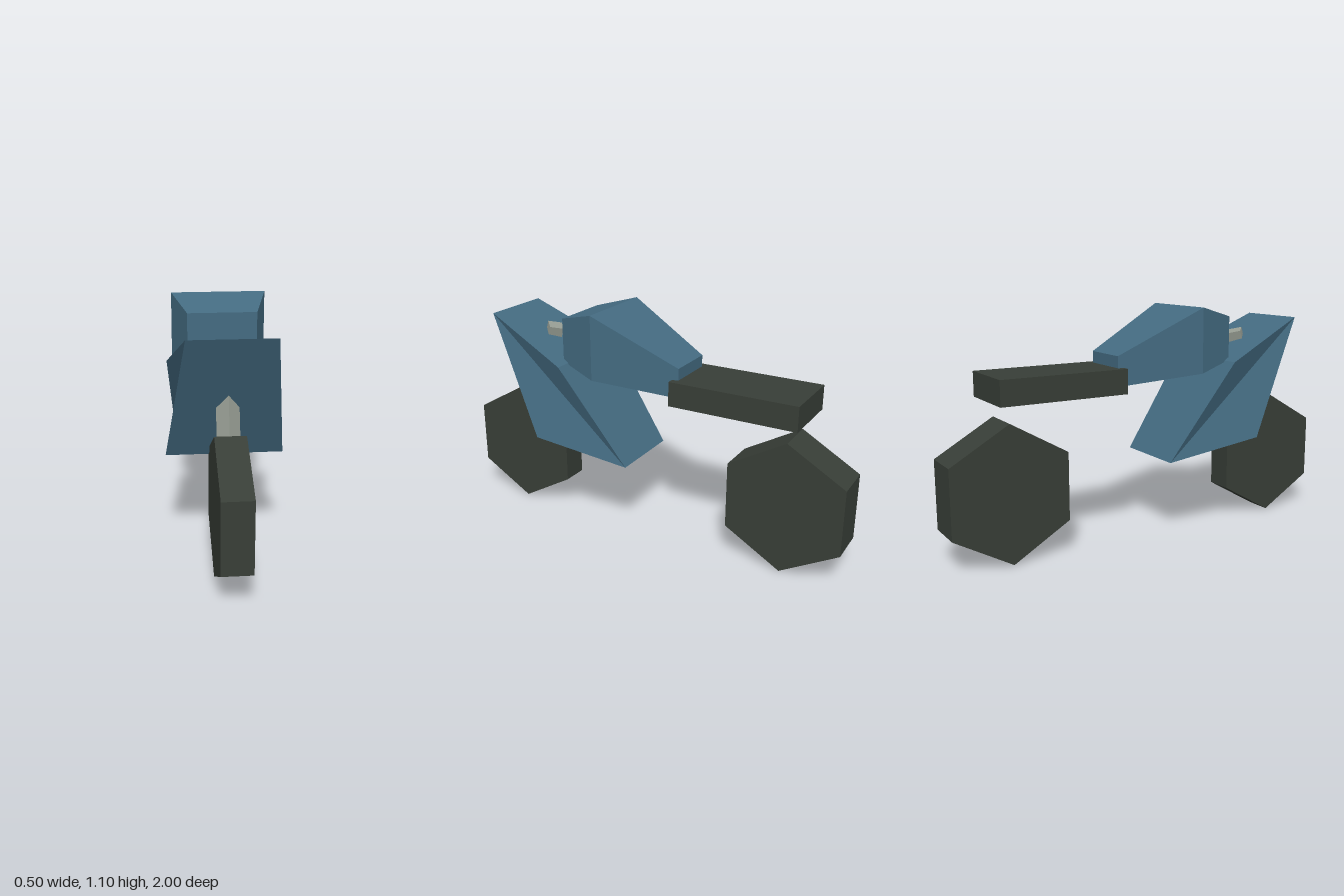
import * as THREE from 'three';

const body = new THREE.MeshStandardMaterial({ color: 0x446b81 });
body.name = 'bodyBlue';
const dark = new THREE.MeshStandardMaterial({ color: 0x383e37 });
dark.name = 'tyreDark';
const metal = new THREE.MeshStandardMaterial({ color: 0x979d93 });
metal.name = 'forkGrey';

// Split shared corners so every facet is flat
function faceted(geometry) {
  const g = geometry.index ? geometry.toNonIndexed() : geometry;
  g.computeVertexNormals();
  return g;
}

function part(group, name, geometry, material, x = 0, y = 0, z = 0) {
  const mesh = new THREE.Mesh(faceted(geometry), material);
  mesh.name = name;
  mesh.position.set(x, y, z);
  group.add(mesh);
  return mesh;
}

// Mirrored shell: outline points are [z, y, half width], running front, top, rear, bottom;
// sides lists the triangles that close the left and right
function mirroredShell(outline, sides) {
  const positions = [];
  const index = [];
  const n = outline.length;
  for (const s of [1, -1]) {
    for (const [z, y, w] of outline) positions.push(s * w, y, z);
  }
  for (let i = 0; i < n; i++) {
    const j = (i + 1) % n;
    index.push(i, j, n + j, i, n + j, n + i);
  }
  for (const [a, b, c] of sides) index.push(a, c, b, n + a, n + b, n + c);
  const g = new THREE.BufferGeometry();
  g.setAttribute('position', new THREE.Float32BufferAttribute(positions, 3));
  g.setIndex(index);
  return g;
}

// Six-sided wheel with a corner at top and bottom
function wheel(radius, width) {
  return new THREE.CylinderGeometry(radius, radius, width, 6, 1, false, Math.PI / 6)
    .rotateZ(Math.PI / 2);
}

export function createModel() {
  const bike = new THREE.Group();
  bike.name = 'motorcycle';

  // Wheels
  part(bike, 'frontWheel', wheel(0.31, 0.13), dark, 0, 0.313, 0.732);
  part(bike, 'rearWheel', wheel(0.317, 0.19), dark, 0, 0.318, -0.725);

  // Seat
  part(bike, 'seat', new THREE.BoxGeometry(0.31, 0.115, 0.61), dark, 0, 0.778, -0.482);

  // Fuel tank, widest at its middle section
  part(bike, 'fuelTank', mirroredShell([
    [0.395, 1.045, 0.147], [0.2, 1.097, 0.205], [-0.207, 0.89, 0.117],
    [-0.207, 0.75, 0.117], [0.2, 0.79, 0.205], [0.395, 0.835, 0.147],
  ], [[0, 1, 4], [0, 4, 5], [1, 2, 3], [1, 3, 4]]), body);

  // Fairing, its sides creased from top front to bottom rear
  part(bike, 'fairing', mirroredShell([
    [0.785, 1.027, 0.178], [0.365, 0.835, 0.235],
    [0.035, 0.377, 0.185], [0.5, 0.458, 0.25],
  ], [[0, 1, 2], [0, 2, 3]]), body);

  // Raked front fork
  const top = new THREE.Vector3(0, 0.96, 0.543);
  const foot = new THREE.Vector3(0, 0.32, 0.745);
  const fork = part(bike, 'frontFork',
    new THREE.CylinderGeometry(0.048, 0.048, top.distanceTo(foot), 4), metal);
  fork.position.copy(top).add(foot).multiplyScalar(0.5);
  fork.rotation.x = Math.atan2(top.z - foot.z, top.y - foot.y);

  return bike;
}
